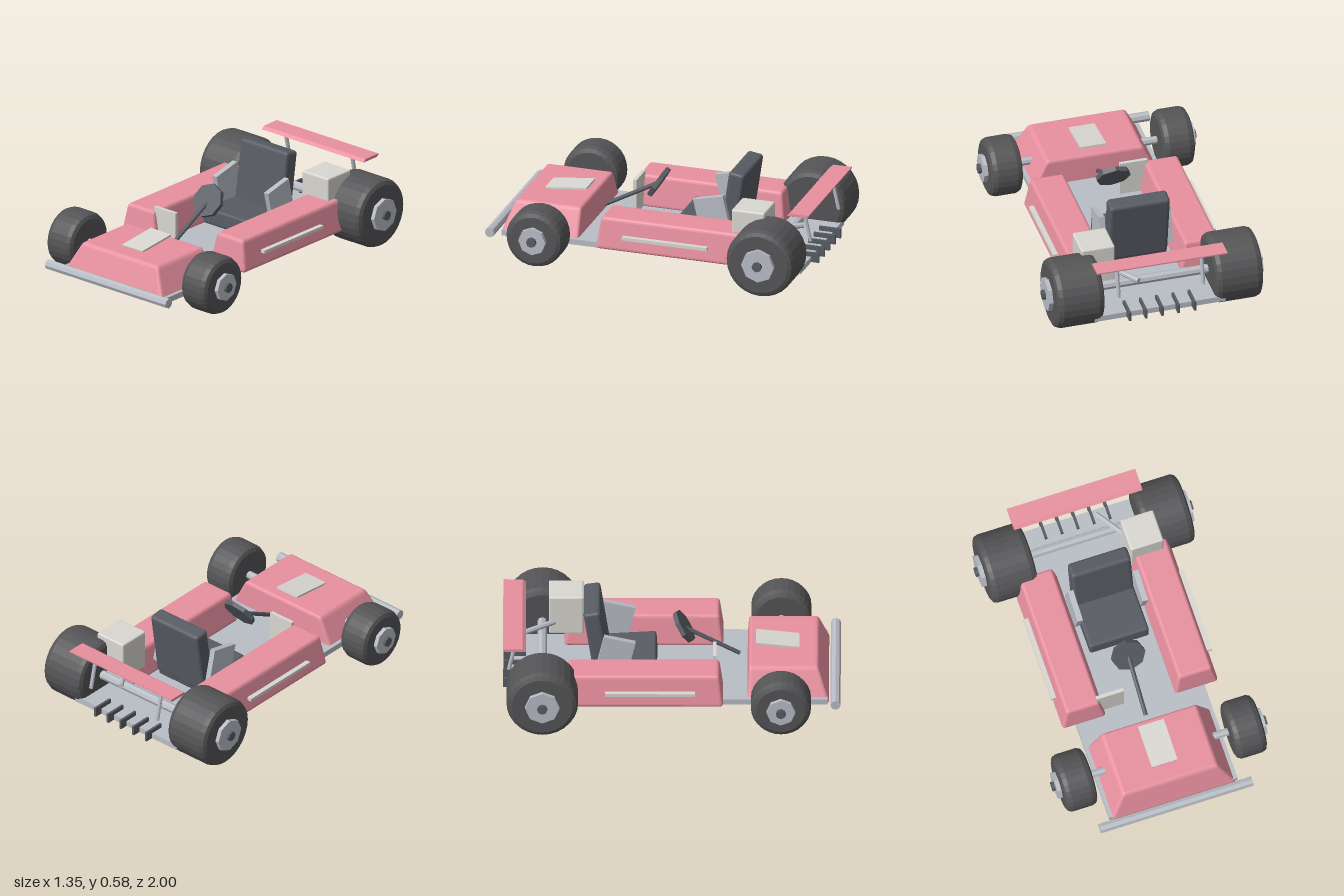
import * as THREE from 'three';
import { RoundedBoxGeometry } from 'three/addons/geometries/RoundedBoxGeometry.js';

const mat = (color) => new THREE.MeshStandardMaterial({ color, flatShading: true });
const RED = mat(0xe8909f), METAL = mat(0xb9bdc5), CREAM = mat(0xd9d7d1);
const RUBBER = mat(0x555557), DARK = mat(0x585c63);

export function createModel() {
  const kart = new THREE.Group();
  kart.name = 'kart';

  function add(name, geometry, material, pos = [0, 0, 0], rotX = 0, parent = kart) {
    const mesh = new THREE.Mesh(geometry, material);
    mesh.name = name;
    mesh.position.set(...pos);
    mesh.rotation.x = rotX;
    parent.add(mesh);
    return mesh;
  }
  const box = (w, h, d) => new THREE.BoxGeometry(w, h, d);

  // Straight bar between two points
  function rod(name, a, b, r, material, sides = 8) {
    const from = new THREE.Vector3(...a), to = new THREE.Vector3(...b);
    const dir = to.clone().sub(from);
    const mesh = add(name, new THREE.CylinderGeometry(r, r, dir.length(), sides), material);
    mesh.position.copy(from).add(to).multiplyScalar(0.5);
    mesh.quaternion.setFromUnitVectors(new THREE.Vector3(0, 1, 0), dir.normalize());
    return mesh;
  }

  // Rounded box whose sides, back and front lean inwards towards the top
  function taperedBox(w, h, d, inX, inBack, inFront, radius) {
    const g = new RoundedBoxGeometry(w, h, d, 2, radius);
    const p = g.attributes.position;
    for (let i = 0; i < p.count; i++) {
      const t = p.getY(i) / h + 0.5, z = p.getZ(i);
      p.setX(i, p.getX(i) * (1 - (t * 2 * inX) / w));
      p.setZ(i, z + t * (inBack * (0.5 - z / d) - inFront * (0.5 + z / d)));
    }
    g.computeVertexNormals();
    return g;
  }

  // Floor pan, with upright fins along its rear edge
  add('floorPan', box(0.8, 0.035, 1.87), METAL, [0, 0.108, -0.015]);
  for (let i = -2; i <= 2; i++) {
    add('rearFin', box(0.014, 0.06, 0.135), DARK, [i * 0.1, 0.122, -0.932]);
  }

  // Nose with its raised number panel, and the front bumper
  add('nose', taperedBox(0.79, 0.2, 0.49, 0.1, 0.01, 0.07, 0.02), RED, [0, 0.188, 0.69]);
  add('nosePanel', box(0.16, 0.012, 0.26), CREAM, [0, 0.303, 0.625], 0.11);
  rod('frontBumper', [-0.475, 0.13, 0.968], [0.475, 0.13, 0.968], 0.03, METAL);

  // Side pods with trim strips
  for (const s of [-1, 1]) {
    add('sidePod', taperedBox(0.275, 0.195, 0.945, 0.035, 0.025, 0.025, 0.02), RED, [s * 0.35, 0.218, -0.168]);
    add('sideTrim', box(0.03, 0.02, 0.53), CREAM, [s * 0.485, 0.211, -0.13]);
  }

  // Seat: cushion, leaning back and side bolsters
  add('seatCushion', new RoundedBoxGeometry(0.37, 0.1, 0.36, 2, 0.015), DARK, [0, 0.19, -0.27], -0.06);
  add('seatBack', new RoundedBoxGeometry(0.37, 0.42, 0.1, 2, 0.02), DARK, [0, 0.375, -0.445], -0.15);
  for (const s of [-1, 1]) {
    add('seatBolster', box(0.034, 0.23, 0.19), METAL, [s * 0.203, 0.31, -0.335], 0.23);
  }

  // Steering column and wheel, upright dash plate
  rod('steeringColumn', [0, 0.205, 0.4], [0, 0.385, 0.07], 0.013, DARK);
  add('steeringWheel', new THREE.CylinderGeometry(0.104, 0.104, 0.028, 8), DARK, [0, 0.388, 0.07], 1.01);
  add('dashPlate', box(0.17, 0.215, 0.022), CREAM, [-0.175, 0.232, 0.252]);

  // Engine and exhaust
  add('engine', new RoundedBoxGeometry(0.205, 0.25, 0.205, 2, 0.01), CREAM, [0.318, 0.33, -0.627]);
  rod('exhaust', [0.24, 0.28, -0.68], [0.11, 0.28, -0.87], 0.017, METAL);

  // Axles
  rod('rearAxle', [-0.5, 0.215, -0.77], [0.5, 0.215, -0.77], 0.028, METAL);
  rod('frontAxle', [-0.5, 0.182, 0.645], [0.5, 0.182, 0.645], 0.024, METAL);

  // Wheels: tyre with rounded shoulders, eight-sided hub and nut
  function wheel(name, side, x0, x1, r, hubR, z) {
    const group = new THREE.Group();
    group.name = name;
    const w = x1 - x0, h = w / 2, c = 0.03;
    const profile = [[0, -h], [r - c * 1.1, -h], [r - c * 0.35, -h + c * 0.35], [r, -h + c * 1.2],
      [r, h - c * 1.2], [r - c * 0.35, h - c * 0.35], [r - c * 1.1, h], [0, h]];
    add('tyre', new THREE.LatheGeometry(profile.map(([a, b]) => new THREE.Vector2(a, b)), 28), RUBBER, [0, 0, 0], 0, group);
    add('hub', new THREE.CylinderGeometry(hubR, hubR, 0.05, 8), METAL, [0, h, 0], 0, group);
    add('wheelNut', new THREE.CylinderGeometry(0.03, 0.03, 0.05, 8), DARK, [0, h + 0.018, 0], 0, group);
    group.rotation.z = -side * Math.PI / 2;
    group.position.set(side * (x0 + x1) / 2, r + 0.004, z);
    kart.add(group);
  }
  for (const s of [-1, 1]) {
    wheel('rearWheel', s, 0.342, 0.634, 0.212, 0.102, -0.767);
    wheel('frontWheel', s, 0.432, 0.626, 0.178, 0.085, 0.645);
  }

  // Rear wing: thin blade section swept across the car, on two posts
  const blade = new THREE.Shape([[0.865, 0.452], [0.885, 0.468], [1.0, 0.47], [1.0, 0.462], [0.985, 0.452]]
    .map(([a, b]) => new THREE.Vector2(a, b)));
  const wing = add('rearWing', new THREE.ExtrudeGeometry(blade, { depth: 0.8, bevelEnabled: false }), RED, [-0.4, 0, 0]);
  wing.rotation.y = Math.PI / 2;
  wing.position.x = -0.4;
  for (const s of [-1, 1]) {
    rod('wingPost', [s * 0.26, 0.46, -0.918], [s * 0.26, 0.25, -0.965], 0.012, METAL);
  }

  return kart;
}
